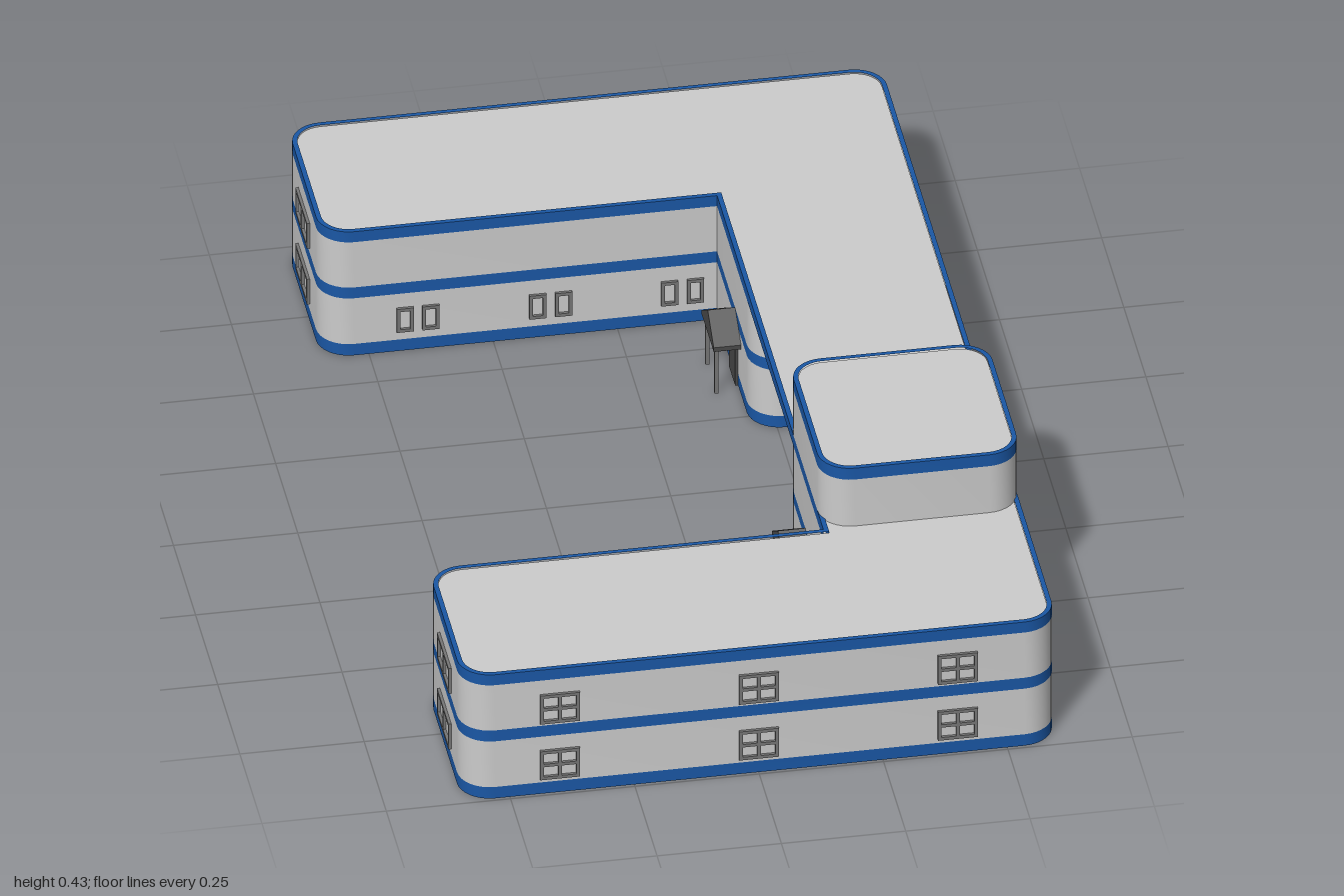
import * as THREE from 'three';
import { toCreasedNormals } from 'three/addons/utils/BufferGeometryUtils.js';

const mat = (color, extra = {}) => new THREE.MeshStandardMaterial({ color, ...extra });
const wallMat = mat(0xcccccc);
const blueMat = mat(0x1a57a5);
const frameMat = mat(0x777777);
const darkMat = mat(0x4a4a4a);

const R = 0.065; // plan corner radius

// Plan corners [x, z, radius]
const wingPlan = [
  [-0.595, 0.6, R], [0.2, 0.6, 0], [0.2, 0.2, R],
  [0.6, 0.2, R], [0.6, 0.993, R], [-0.595, 0.993, R],
];
const roofPlan = [
  [-0.595, 0.6, R], [0.2, 0.6, 0], [0.2, -0.6, 0], [-0.595, -0.6, R],
  [-0.595, -0.993, R], [0.6, -0.993, R], [0.6, 0.993, R], [-0.595, 0.993, R],
];
const towerPlan = [[0.2, 0.2, R], [0.6, 0.2, R], [0.6, 0.595, R], [0.2, 0.595, R]];

// Rounded outline of a plan, moved inwards by inset
function outline(plan, inset = 0, PathType = THREE.Shape) {
  const pts = plan.map(([x, z]) => new THREE.Vector2(x, -z));
  const sign = Math.sign(THREE.ShapeUtils.area(pts));
  const n = pts.length;
  const dir = (i) => pts[(i + 1) % n].clone().sub(pts[i % n]).normalize();
  const path = new PathType();
  pts.forEach((p, i) => {
    const a = dir(i + n - 1), b = dir(i);
    const c = new THREE.Vector2(p.x - sign * inset * (a.y + b.y), p.y + sign * inset * (a.x + b.x));
    const r = plan[i][2] ? plan[i][2] - inset : 0;
    const start = c.clone().addScaledVector(a, -r), end = c.clone().addScaledVector(b, r);
    if (i === 0) path.moveTo(start.x, start.y);
    else path.lineTo(start.x, start.y);
    if (r) {
      const h1 = c.clone().addScaledVector(a, -r * 0.448), h2 = c.clone().addScaledVector(b, r * 0.448);
      path.bezierCurveTo(h1.x, h1.y, h2.x, h2.y, end.x, end.y);
    }
  });
  path.closePath();
  return path;
}

// Upright slab from y0 to y1
function slab(parent, name, shape, y0, y1, material) {
  const g = new THREE.ExtrudeGeometry(shape, { depth: y1 - y0, bevelEnabled: false, curveSegments: 8 });
  g.rotateX(-Math.PI / 2).translate(0, y0, 0);
  const mesh = new THREE.Mesh(toCreasedNormals(g, 0.6), material);
  mesh.name = name;
  parent.add(mesh);
}

// Grey roof deck framed by a blue rim
function roof(parent, name, plan, y0, y1) {
  const rim = outline(plan);
  rim.holes.push(outline(plan, 0.01, THREE.Path));
  slab(parent, name + 'Rim', rim, y0, y1, blueMat);
  slab(parent, name + 'Deck', outline(plan, 0.01), y0, y1 - 0.003, wallMat);
}

function box(parent, name, w, h, d, x, y, z, material) {
  const mesh = new THREE.Mesh(new THREE.BoxGeometry(w, h, d), material);
  mesh.name = name;
  mesh.position.set(x, y, z);
  parent.add(mesh);
}

// Window frame in the xy plane with optional centre bars
function windowFrame(parent, w, h, x, y, z, turn, upright = true, cross = true) {
  const g = new THREE.Group();
  const t = 0.007, d = 0.012;
  g.name = 'window';
  for (const s of [-1, 1]) {
    box(g, 'frameSide', t, h, d, s * (w - t) / 2, 0, 0, frameMat);
    box(g, 'frameRail', w, t, d, 0, s * (h - t) / 2, 0, frameMat);
  }
  if (upright) box(g, 'upright', t, h, d, 0, 0, 0, frameMat);
  if (cross) box(g, 'crossbar', w, t, d, 0, 0, 0, frameMat);
  g.position.set(x, y, z);
  g.rotation.y = turn;
  parent.add(g);
}

// Courtyard door under a small gabled porch
function porch(parent, z) {
  const g = new THREE.Group();
  g.name = 'porch';
  const gable = new THREE.Shape([[-0.068, 0], [0.068, 0], [0.068, 0.01], [0, 0.055], [-0.068, 0.01]]
    .map(([x, y]) => new THREE.Vector2(x, y)));
  const geo = new THREE.ExtrudeGeometry(gable, { depth: 0.06, bevelEnabled: false });
  geo.rotateY(-Math.PI / 2);
  const top = new THREE.Mesh(geo, darkMat);
  top.name = 'porchRoof';
  top.position.set(0.205, 0.108, 0);
  g.add(top);
  box(g, 'door', 0.012, 0.1, 0.07, 0.2, 0.05, 0, darkMat);
  for (const s of [-1, 1]) box(g, 'porchPost', 0.008, 0.11, 0.008, 0.153, 0.055, s * 0.052, frameMat);
  g.position.z = z;
  parent.add(g);
}

function building(name, side) {
  const g = new THREE.Group();
  g.name = name;
  const plan = wingPlan.map(([x, z, r]) => [x, z * side, r]);
  // Blue bands between the grey storeys
  slab(g, 'baseBand', outline(plan), 0, 0.027, blueMat);
  slab(g, 'lowerStorey', outline(plan), 0.027, 0.136, wallMat);
  slab(g, 'middleBand', outline(plan), 0.136, 0.162, blueMat);
  slab(g, 'upperStorey', outline(plan), 0.162, 0.27, wallMat);
  for (const y of [0.07, 0.203]) {
    for (const x of [-0.4, 0, 0.4]) windowFrame(g, 0.08, 0.068, x, y, side * 0.993, 0);
    windowFrame(g, 0.13, 0.06, -0.595, y, side * 0.8, Math.PI / 2, true, false);
  }
  // Pairs of narrow windows facing the courtyard
  for (const x of [-0.402, -0.135, 0.13])
    for (const s of [-1, 1]) windowFrame(g, 0.034, 0.056, x + s * 0.026, 0.075, side * 0.6, 0, false, false);
  porch(g, side * 0.397);
  return g;
}

export function createModel() {
  const model = new THREE.Group();
  model.name = 'buildingComplex';
  model.add(building('frontBuilding', 1), building('backBuilding', -1));
  // One roof spans both buildings and the passage between them
  roof(model, 'mainRoof', roofPlan, 0.27, 0.295);
  const tower = new THREE.Group();
  tower.name = 'tower';
  slab(tower, 'towerWalls', outline(towerPlan), 0.285, 0.403, wallMat);
  roof(tower, 'towerRoof', towerPlan, 0.403, 0.43);
  model.add(tower);
  return model;
}
